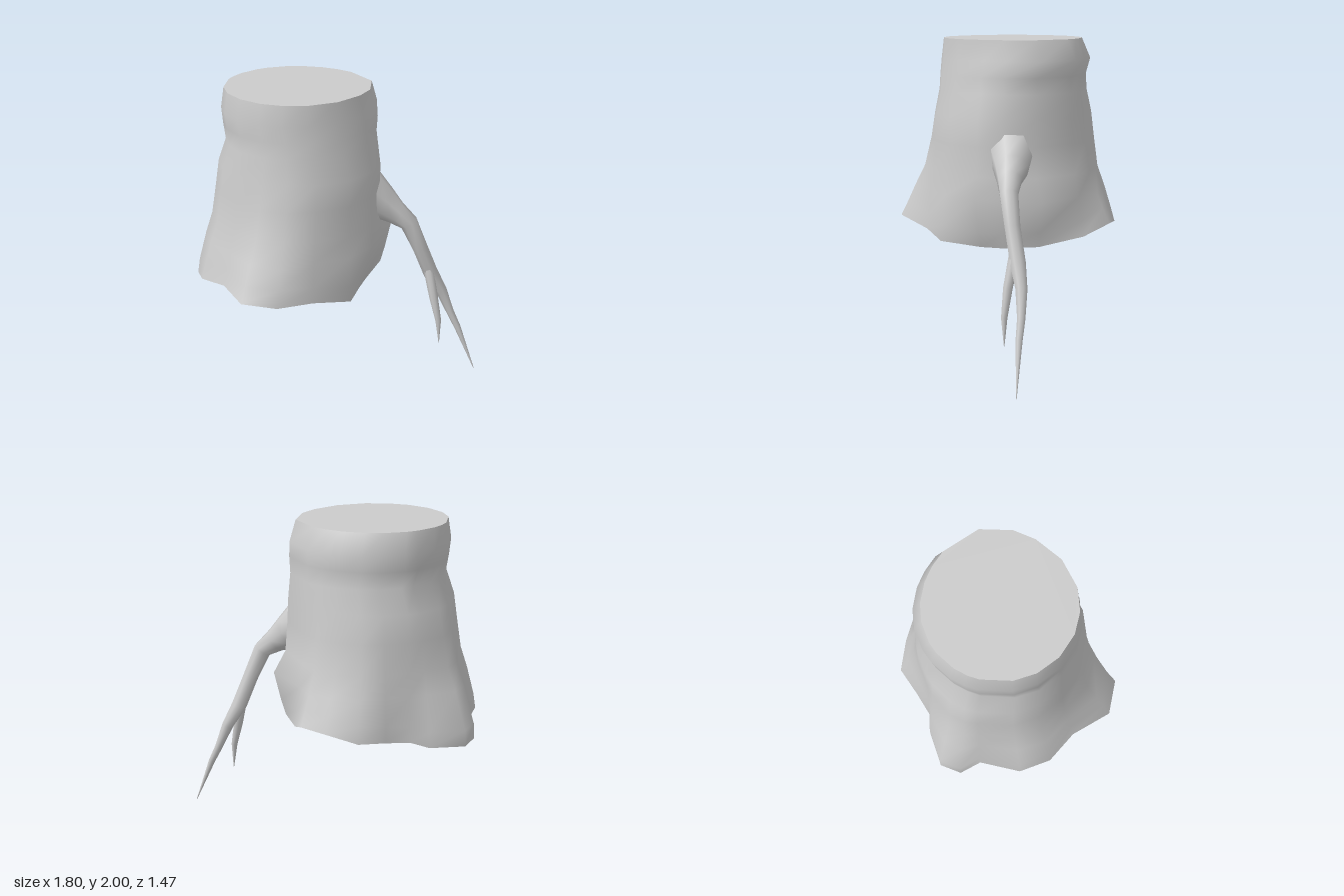
import * as THREE from 'three';

const material = new THREE.MeshStandardMaterial({ color: 0xcccccc, side: THREE.DoubleSide });

// Smooth skin over closed rings of equal length
function loft(name, rings) {
  const n = rings[0].length, index = [];
  for (let r = 0; r < rings.length - 1; r++) {
    for (let i = 0; i < n; i++) {
      const a = r * n + i, b = r * n + (i + 1) % n;
      index.push(a, b, b + n, a, b + n, a + n);
    }
  }
  const geometry = new THREE.BufferGeometry().setFromPoints(rings.flat());
  geometry.setIndex(index);
  geometry.computeVertexNormals();
  const mesh = new THREE.Mesh(geometry, material);
  mesh.name = name;
  return mesh;
}

// Tapered limb along points [x, y, z, radius]
function limb(name, path, sides = 8) {
  const pts = path.map(p => new THREE.Vector3(p[0], p[1], p[2]));
  const rings = pts.map((p, k) => {
    const t = pts[Math.min(k + 1, pts.length - 1)].clone().sub(pts[Math.max(k - 1, 0)]).normalize();
    const u = new THREE.Vector3(0, 0, 1).addScaledVector(t, -t.z).normalize();
    const v = t.clone().cross(u);
    return Array.from({ length: sides }, (_, i) => {
      const a = i / sides * Math.PI * 2;
      return p.clone().addScaledVector(u, Math.cos(a) * path[k][3]).addScaledVector(v, Math.sin(a) * path[k][3]);
    });
  });
  return loft(name, rings);
}

// Flared, wavy outline from -x round the front: x, y, z and how far the foot tucks in below it
const outline = [
  [-0.9, 0.68, -0.08, 0], [-0.88, 0.68, 0.06, 0], [-0.76, 0.7, 0.14, 0], [-0.69, 0.73, 0.4, 0],
  [-0.54, 0.78, 0.54, 0], [-0.32, 0.81, 0.59, 0], [-0.08, 0.81, 0.73, 0], [0.14, 0.81, 0.66, 0],
  [0.23, 0.76, 0.4, 0], [0.385, 0.73, 0.2, 0], [0.39, 0.7, -0.05, 0.09], [0.36, 0.7, -0.22, 0.1],
  [0.29, 0.73, -0.47, 0.07], [0.0, 0.77, -0.62, 0], [-0.14, 0.84, -0.735, 0], [-0.3, 0.82, -0.7, 0],
  [-0.49, 0.78, -0.63, 0], [-0.57, 0.75, -0.46, 0], [-0.65, 0.72, -0.31, 0], [-0.75, 0.69, -0.25, 0],
];
const outer = outline.map(p => new THREE.Vector3(p[0], p[1], p[2]));

// Copy of a point moved towards the trunk's axis
function tucked(p, amount) {
  const d = new THREE.Vector3(-0.17 - p.x, 0, -0.02 - p.z).normalize();
  return p.clone().addScaledVector(d, amount);
}

// Ellipse point in the direction of an outline point, with a bulge at the back left corner
function onEllipse(p, y, cx, cz, rx, rz, bulge) {
  const a = Math.atan2(p.z + 0.02, p.x + 0.17);
  const s = 1 + bulge * Math.max(0, Math.cos(a + Math.PI / 4)) ** 6;
  return new THREE.Vector3(cx + Math.cos(a) * rx * s, y, cz + Math.sin(a) * rz * s);
}

export function createModel() {
  const group = new THREE.Group();
  group.name = 'treeStump';

  // Trunk: height, centre x and z, radius x and z, corner bulge, share of the root flare
  const levels = [
    [1.02, -0.16, -0.03, 0.53, 0.5, 0, 0.6], [1.16, -0.16, -0.03, 0.53, 0.5, 0, 0.32],
    [1.35, -0.16, -0.035, 0.53, 0.5, 0, 0.15], [1.52, -0.155, -0.035, 0.528, 0.505, 0, 0.02],
    [1.67, -0.15, -0.035, 0.47, 0.485, 0.05, 0], [1.77, -0.16, -0.03, 0.48, 0.475, 0.08, 0],
    [1.87, -0.18, -0.04, 0.47, 0.49, 0.09, 0], [2, -0.175, -0.02, 0.45, 0.45, 0.09, 0],
  ];
  const rings = levels.map(([y, cx, cz, rx, rz, bulge, flare], k) => outer.map((p, i) => {
    const q = onEllipse(p, y, cx, cz, rx, rz, bulge);
    const share = k === 0 && outline[i][3] > 0 ? 1 : flare;
    q.x += (p.x - q.x) * share;
    q.z += (p.z - q.z) * share;
    return q;
  }));
  const edge = outer.map((p, i) => tucked(p, outline[i][3]));
  const lip = outer.map((p, i) => {
    const blend = THREE.MathUtils.clamp((p.y - 0.66) * 3.3, 0.03, 0.6);
    return tucked(p.clone().lerp(rings[0][i], blend), outline[i][3] * 0.6).setY(p.y + 0.1);
  });
  group.add(loft('trunk', [edge, lip, ...rings]));

  // Underside rim round the open hole, rising towards the back
  const hole = edge.map(p => {
    const q = onEllipse(p, p.y + 0.01 + 0.2 * Math.max(0, -p.z - 0.1), -0.17, -0.01, 0.49, 0.52, 0);
    return Math.hypot(p.x + 0.17, p.z + 0.02) < 0.56 ? tucked(p, 0.015) : q;
  });
  group.add(loft('underside', [hole, edge]));

  // Flat cut top
  const top = rings[rings.length - 1];
  const cut = new THREE.Mesh(
    new THREE.ShapeGeometry(new THREE.Shape(top.map(p => new THREE.Vector2(p.x, -p.z)))), material);
  cut.rotation.x = -Math.PI / 2;
  cut.position.y = 2;
  cut.name = 'cutTop';
  group.add(cut);

  // Drooping side root and its short fork
  group.add(limb('sideRoot', [
    [0.22, 1.32, -0.22, 0.16], [0.33, 1.23, -0.275, 0.115], [0.41, 1.17, -0.305, 0.08], [0.49, 1.1, -0.345, 0.06],
    [0.55, 0.92, -0.4, 0.05], [0.605, 0.72, -0.465, 0.05], [0.665, 0.58, -0.52, 0.038],
    [0.725, 0.42, -0.55, 0.026], [0.78, 0.31, -0.565, 0.022], [0.9, 0, -0.61, 0.002],
  ]));
  group.add(limb('rootFork', [
    [0.595, 0.78, -0.44, 0.035], [0.655, 0.57, -0.425, 0.03], [0.7, 0.4, -0.425, 0.02], [0.71, 0.23, -0.43, 0.002],
  ]));
  return group;
}
